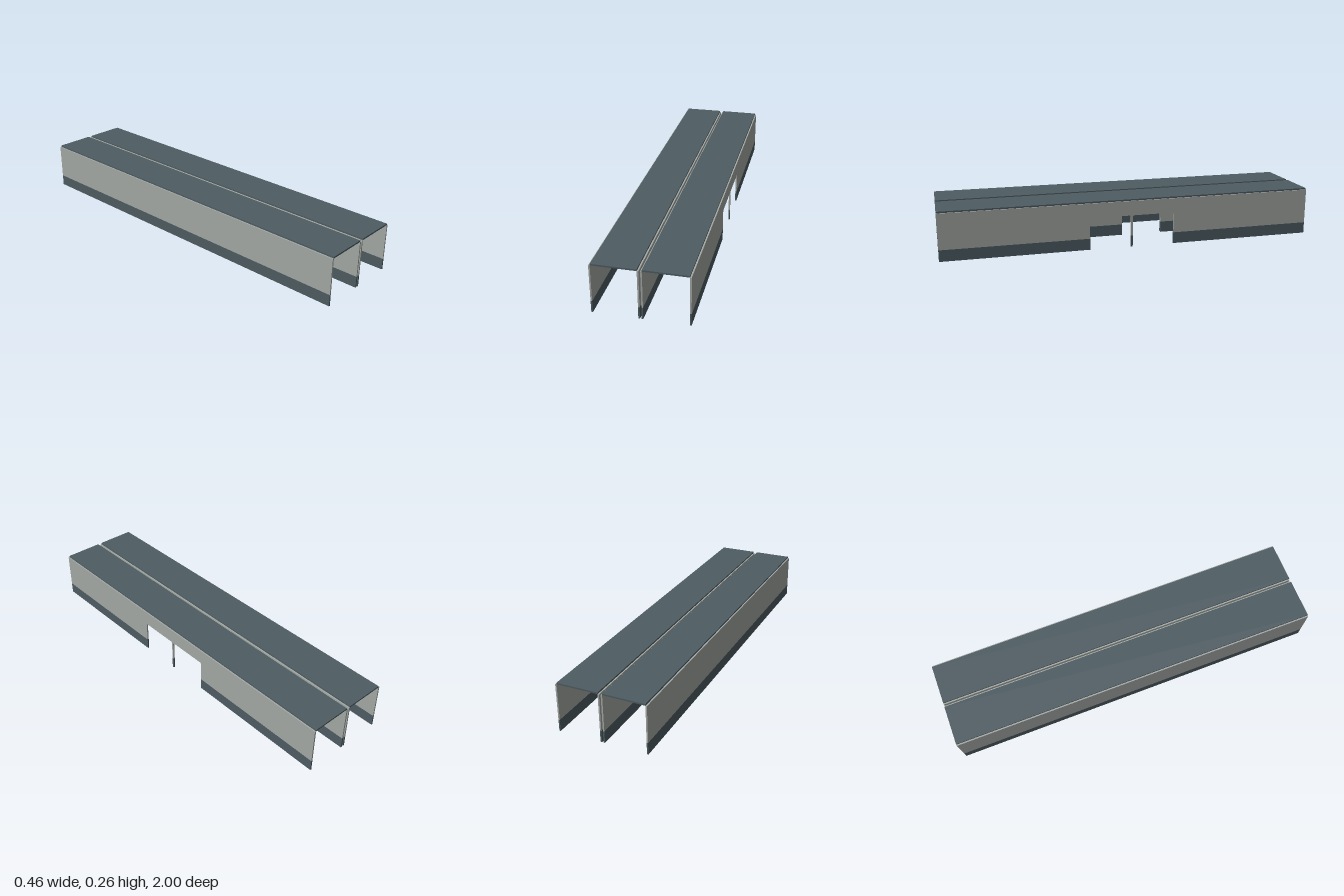
import * as THREE from 'three';

const wallMat = new THREE.MeshStandardMaterial({ color: 0xa4a9a5 });
wallMat.name = 'paleGrey';
const darkMat = new THREE.MeshStandardMaterial({ color: 0x4e5c62 });
darkMat.name = 'slateGrey';

const T = 0.0075;      // wall thickness
const BAND = 0.06;     // height of the dark base band
const TOP = 0.248;     // wall height
const DOOR = 0.17;     // doorway height
const R = 0.01;        // doorway corner radius

function box(name, mat, x0, x1, y0, y1, z0, z1) {
  const mesh = new THREE.Mesh(new THREE.BoxGeometry(x1 - x0, y1 - y0, z1 - z0), mat);
  mesh.position.set((x0 + x1) / 2, (y0 + y1) / 2, (z0 + z1) / 2);
  mesh.name = name;
  return mesh;
}

// Long wall with a dark base band; doors is a list of [start, end] along z, ascending
function makeWall(name, x, doors) {
  const wall = new THREE.Group();
  wall.name = name;
  const shape = new THREE.Shape();
  shape.moveTo(-1, BAND);
  let from = -1;
  for (const [a, b] of doors) {
    shape.lineTo(a, BAND);
    shape.lineTo(a, DOOR - R);
    shape.quadraticCurveTo(a, DOOR, a + R, DOOR);
    shape.lineTo(b - R, DOOR);
    shape.quadraticCurveTo(b, DOOR, b, DOOR - R);
    shape.lineTo(b, BAND);
    wall.add(box('baseBand', darkMat, x - T / 2, x + T / 2, 0, BAND, from, a));
    from = b;
  }
  wall.add(box('baseBand', darkMat, x - T / 2, x + T / 2, 0, BAND, from, 1));
  shape.lineTo(1, BAND);
  shape.lineTo(1, TOP);
  shape.lineTo(-1, TOP);
  shape.closePath();
  const geo = new THREE.ExtrudeGeometry(shape, { depth: T, bevelEnabled: false, curveSegments: 4 });
  geo.rotateY(-Math.PI / 2); // shape x runs along +z, depth along -x
  const panel = new THREE.Mesh(geo, wallMat);
  panel.position.x = x + T / 2;
  panel.name = 'wallPanel';
  wall.add(panel);
  return wall;
}

// Ceiling light strip with rounded lower corners
function makeLight(x, z, length) {
  const w = 0.0225, y0 = 0.238, r = 0.004;
  const s = new THREE.Shape();
  s.moveTo(-w, TOP);
  s.lineTo(-w, y0 + r);
  s.quadraticCurveTo(-w, y0, -w + r, y0);
  s.lineTo(w - r, y0);
  s.quadraticCurveTo(w, y0, w, y0 + r);
  s.lineTo(w, TOP);
  s.closePath();
  const geo = new THREE.ExtrudeGeometry(s, { depth: length, bevelEnabled: false, curveSegments: 4 });
  const mesh = new THREE.Mesh(geo, wallMat);
  mesh.position.set(x, 0, z - length / 2);
  mesh.name = 'ceilingLight';
  return mesh;
}

export function createModel() {
  const model = new THREE.Group();
  model.name = 'twinCorridor';

  // Walls: one side doorway in the middle pair, two in the left outer wall
  const rearDoor = [-0.225, 0];
  const frontDoor = [0.01, 0.23];
  model.add(makeWall('leftOuterWall', 0.2275, [rearDoor, frontDoor]));
  model.add(makeWall('leftInnerWall', 0.0078, [rearDoor]));
  model.add(makeWall('rightInnerWall', -0.0078, [rearDoor]));
  model.add(makeWall('rightOuterWall', -0.2275, []));

  // Roofs and ceiling lights
  for (const side of [1, -1]) {
    const inner = 0.0115 * side, outer = 0.2238 * side;
    model.add(box('roof', darkMat, Math.min(inner, outer), Math.max(inner, outer), TOP, 0.256, -1, 1));
    for (const z of [-0.6, 0.6]) model.add(makeLight(0.1176 * side, z, 0.3));
  }
  return model;
}
